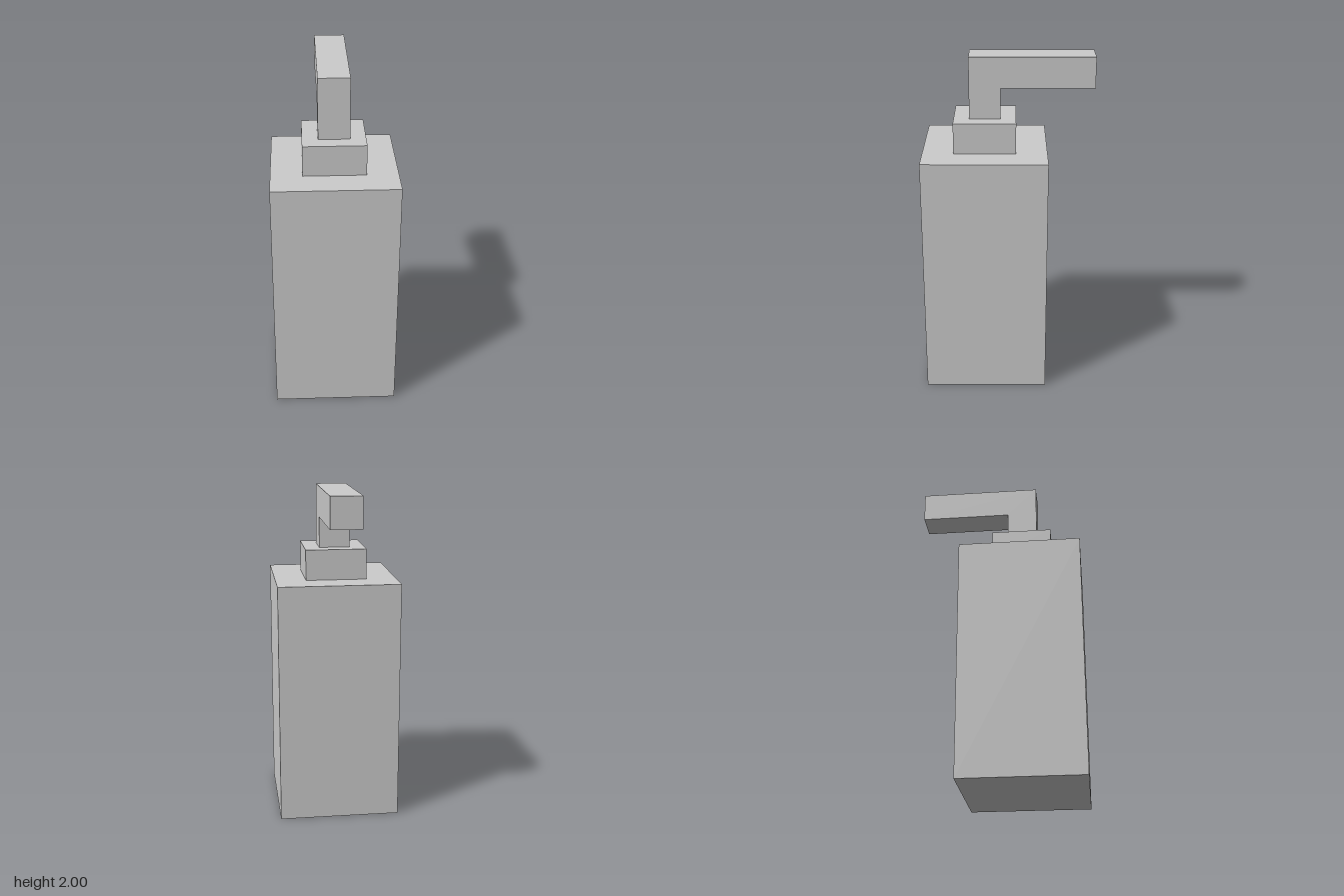
import * as THREE from 'three';

const U = 2 / 11;         // module unit: the bottle is 11 units tall
const AXIS_Z = 0.75 * U;  // bottle axis, offset so the spout overhangs the back

export function createModel() {
  const group = new THREE.Group();
  const material = new THREE.MeshStandardMaterial({ color: 0xcccccc, flatShading: true });

  const add = (name, geometry, y) => {
    const mesh = new THREE.Mesh(geometry, material);
    mesh.name = name;
    mesh.position.set(0, y * U, AXIS_Z);
    group.add(mesh);
  };

  // Square block standing on its base
  const block = (width, height) =>
    new THREE.BoxGeometry(width * U, height * U, width * U).translate(0, height * U / 2, 0);

  add('bottleBody', block(4, 8), 0);
  add('collar', block(2, 1), 8);

  // Pump head: L-shaped side profile (z, y) with stem and rearward spout
  const profile = new THREE.Shape(
    [[0.5, 0], [0.5, 2], [-3.5, 2], [-3.5, 1], [-0.5, 1], [-0.5, 0]]
      .map(([z, y]) => new THREE.Vector2(z * U, y * U))
  );
  const pump = new THREE.ExtrudeGeometry(profile, { depth: U, bevelEnabled: false });
  pump.translate(0, 0, -U / 2).rotateY(-Math.PI / 2);
  add('pumpHead', pump, 9);

  return group;
}
